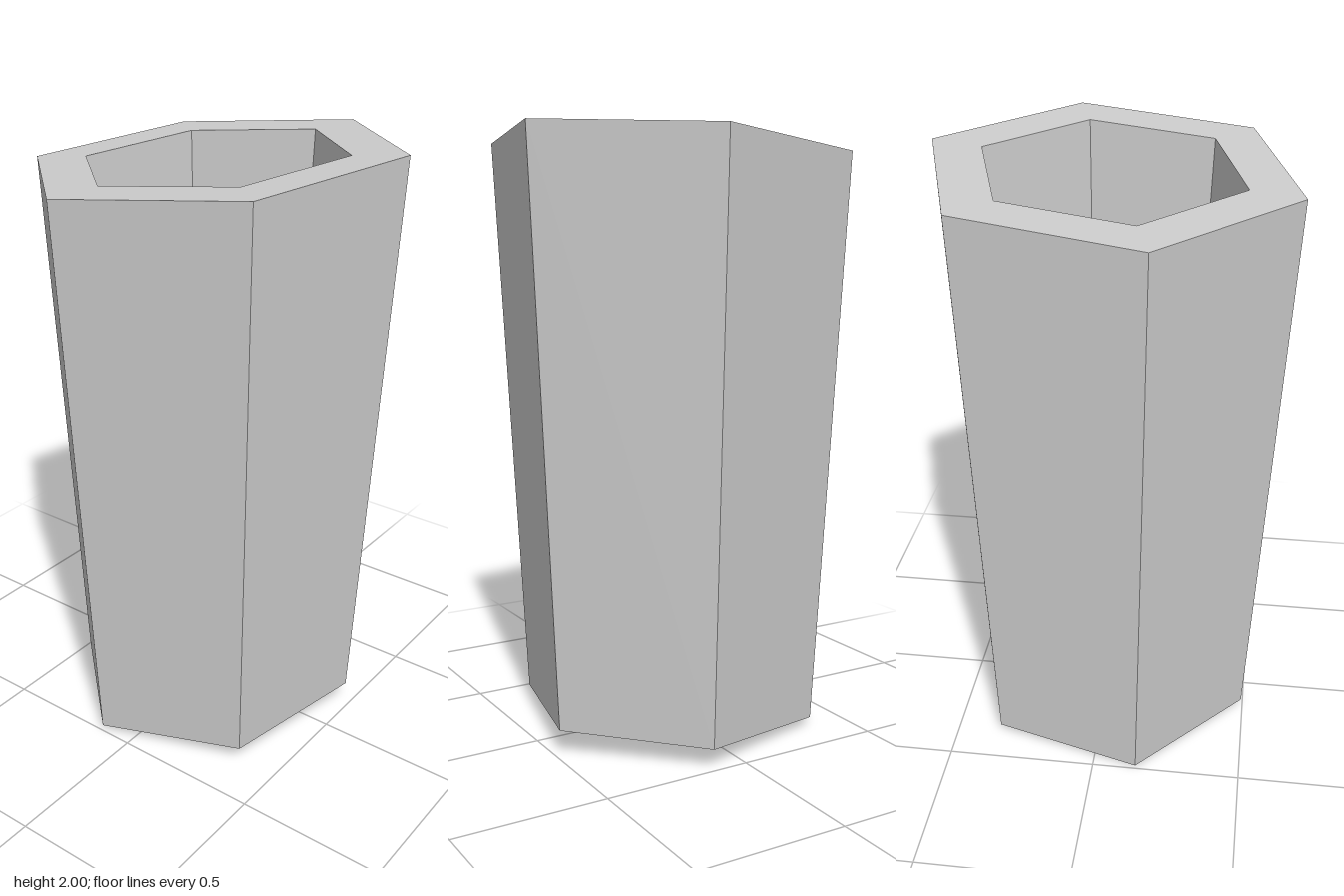
import * as THREE from 'three';

const SIDES = 6;
const TURN = THREE.MathUtils.degToRad(16.7);
const BOTTOM = 0.043, FLOOR = 0.12, TOP = 1.952;

// Every horizontal cut slopes gently in the same direction
function slope(geometry) {
  const g = geometry.index ? geometry.toNonIndexed() : geometry;
  const p = g.attributes.position;
  for (let i = 0; i < p.count; i++) {
    p.setY(i, p.getY(i) + 0.077 * p.getX(i) - 0.033 * p.getZ(i));
  }
  g.computeVertexNormals();
  return g;
}

// Hexagonal band between two radius/height pairs
function band(r0, y0, r1, y1) {
  const profile = [new THREE.Vector2(r0, y0), new THREE.Vector2(r1, y1)];
  return slope(new THREE.LatheGeometry(profile, SIDES, Math.PI / 2 + TURN));
}

// Hexagonal plate facing up (1) or down (-1)
function plate(radius, y, facing) {
  const g = new THREE.CircleGeometry(radius, SIDES, facing * TURN);
  g.rotateX(-facing * Math.PI / 2);
  g.translate(0, y, 0);
  return slope(g);
}

export function createModel() {
  const group = new THREE.Group();
  group.name = 'hexagonalCup';
  const grey = new THREE.MeshStandardMaterial({ color: 0xcccccc, flatShading: true });
  grey.name = 'light grey';

  const parts = {
    outerWall: band(0.508, BOTTOM, 0.61, TOP),
    rim: band(0.61, TOP, 0.435, TOP),
    innerWall: band(0.435, TOP, 0.338, FLOOR),
    innerFloor: plate(0.338, FLOOR, 1),
    base: plate(0.508, BOTTOM, -1),
  };
  for (const [name, geometry] of Object.entries(parts)) {
    const mesh = new THREE.Mesh(geometry, grey);
    mesh.name = name;
    group.add(mesh);
  }
  return group;
}
